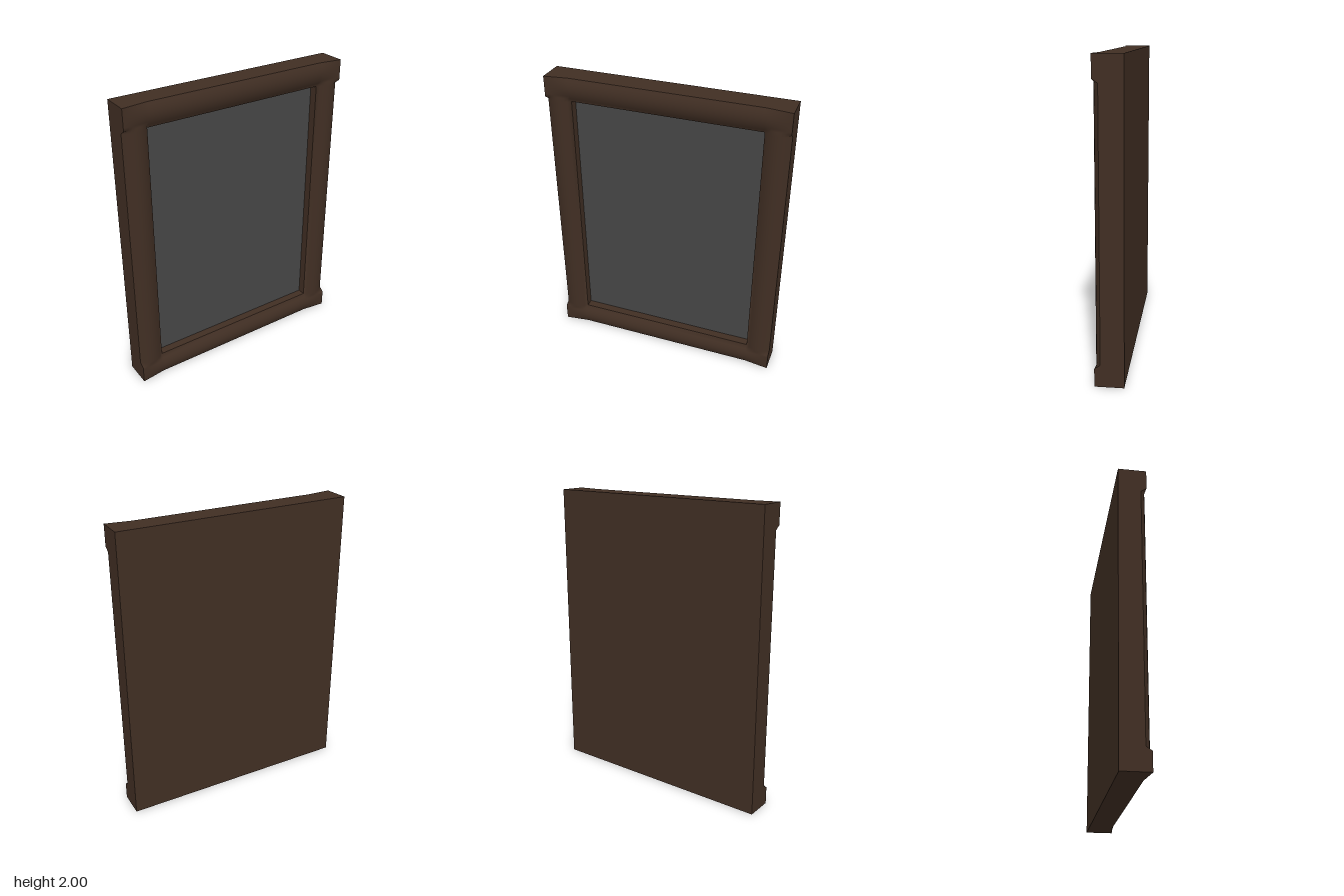
import * as THREE from 'three';

// Overall size and the opening
const X = 0.8, H = 2, BACK = -0.092, FRONT = 0.092, PANE_Z = 0.0;
const IX = 0.633, IY0 = 0.143, IY1 = 1.837, STEP = 0.025, EDGE = 0.055;

// Rounded rail sections, 0 at the opening and 1 at the outer edge
const stileProfile = (u) => EDGE + 0.036 * 4 * u * (1 - u);
const railProfile = (v) => EDGE + 0.015 * v + 0.0285 * 4 * v * (1 - v);

// Height of the moulded front at any point of the frame
function frontHeight(x, y) {
  const u = Math.max(0, (Math.abs(x) - IX) / (X - IX));
  const out = Math.max(IY0 - y, y - IY1);
  if (out <= 1e-6) return stileProfile(u);
  const v = out / (y < 1 ? IY0 : H - IY1);
  return THREE.MathUtils.lerp(railProfile(v), FRONT, u); // corners rise to a block
}

// Grid stations across the frame
function stations() {
  const xs = [], ys = [];
  const n = 8;
  for (let i = 0; i <= n; i++) xs.push(-X + ((X - IX) * i) / n);
  xs.push(0);
  for (let i = 0; i <= n; i++) xs.push(IX + ((X - IX) * i) / n);
  for (let i = 0; i < n; i++) ys.push(((IY0 - STEP) * i) / (n - 1));
  ys.push(IY0, 1, IY1);
  for (let i = 0; i < n; i++) ys.push(IY1 + STEP + ((H - IY1 - STEP) * i) / (n - 1));
  return { xs, ys };
}

// Smooth moulded face with the opening left out
function mouldingGeometry({ xs, ys }) {
  const pos = [], idx = [], w = xs.length;
  for (const y of ys) for (const x of xs) pos.push(x, y, frontHeight(x, y));
  for (let j = 0; j < ys.length - 1; j++) {
    for (let i = 0; i < w - 1; i++) {
      const cx = (xs[i] + xs[i + 1]) / 2, cy = (ys[j] + ys[j + 1]) / 2;
      if (Math.abs(cx) < IX && cy > IY0 && cy < IY1) continue;
      const a = j * w + i, b = a + 1, c = a + w, d = c + 1;
      idx.push(a, b, d, a, d, c);
    }
  }
  const g = new THREE.BufferGeometry();
  g.setAttribute('position', new THREE.Float32BufferAttribute(pos, 3));
  g.setIndex(idx);
  g.computeVertexNormals();
  return g;
}

// Counter-clockwise outline of the stations within given limits
function outline({ xs, ys }, x, y0, y1) {
  const px = xs.filter((v) => Math.abs(v) <= x + 1e-6);
  const py = ys.filter((v) => v >= y0 - 1e-6 && v <= y1 + 1e-6);
  return [
    ...px.slice(0, -1).map((v) => [v, y0]),
    ...py.slice(0, -1).map((v) => [x, v]),
    ...px.slice(1).reverse().map((v) => [v, y1]),
    ...py.slice(1).reverse().map((v) => [-x, v]),
  ];
}

// Straight wall from the moulded face back to a depth
function wallGeometry(loop, depth) {
  const pos = [];
  loop.forEach(([x, y], i) => {
    const [x2, y2] = loop[(i + 1) % loop.length];
    const f = [x, y, frontHeight(x, y)], f2 = [x2, y2, frontHeight(x2, y2)];
    const b = [x, y, depth], b2 = [x2, y2, depth];
    pos.push(...f, ...b, ...b2, ...f, ...b2, ...f2);
  });
  const g = new THREE.BufferGeometry();
  g.setAttribute('position', new THREE.Float32BufferAttribute(pos, 3));
  g.computeVertexNormals();
  return g;
}

export function createModel() {
  const wood = new THREE.MeshStandardMaterial({ color: 0x402e23 });
  wood.name = 'darkWood';
  const grey = new THREE.MeshStandardMaterial({ color: 0x464646 });
  grey.name = 'greyPane';

  const model = new THREE.Group();
  model.name = 'pictureFrame';
  const add = (name, geometry, material) => {
    const mesh = new THREE.Mesh(geometry, material);
    mesh.name = name;
    model.add(mesh);
    return mesh;
  };

  const grid = stations();
  add('frontMoulding', mouldingGeometry(grid), wood);
  add('outerSides', wallGeometry(outline(grid, X, 0, H), BACK), wood);
  add('openingSides', wallGeometry(outline(grid, IX, IY0, IY1).reverse(), PANE_Z), wood);

  // Flat back board
  const back = add('backBoard', new THREE.PlaneGeometry(2 * X, H), wood);
  back.rotation.y = Math.PI;
  back.position.set(0, H / 2, BACK);

  // Recessed pane
  const pane = add('pane', new THREE.PlaneGeometry(2 * IX, IY1 - IY0), grey);
  pane.position.set(0, (IY0 + IY1) / 2, PANE_Z);

  return model;
}
